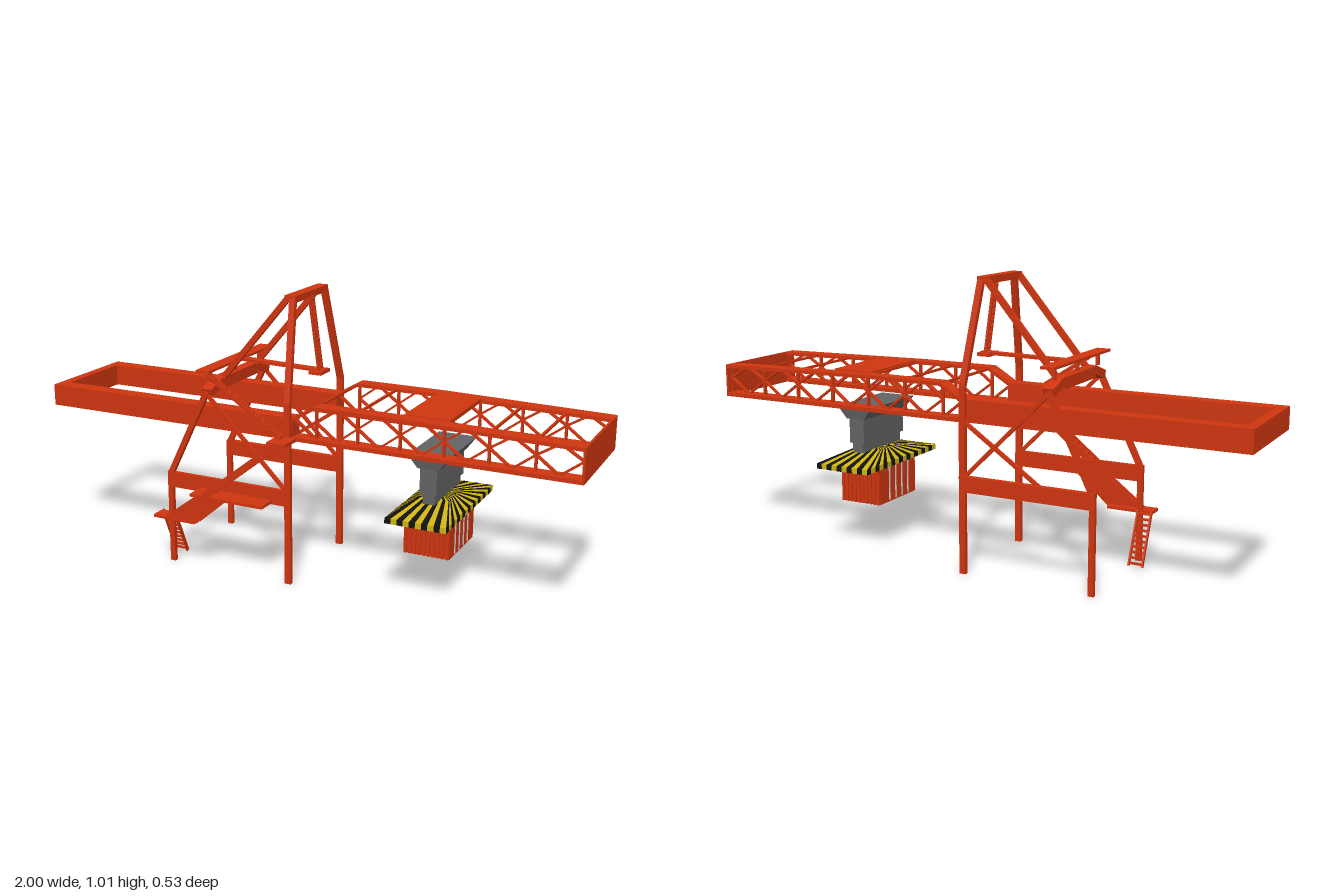
import * as THREE from 'three';

const mat = (name, color, side = THREE.FrontSide) => {
  const m = new THREE.MeshStandardMaterial({ color, side });
  m.name = name;
  return m;
};

export function createModel() {
  const red = mat('crane red', 0xcf3510);
  const grey = mat('steel grey', 0x636363);
  const yellow = mat('warning yellow', 0xd0b512);
  const black = mat('warning black', 0x111111);
  const pale = mat('pale grey', 0xc9c6c4);
  const model = new THREE.Group();
  model.name = 'containerCrane';
  const V = (p) => new THREE.Vector3(...p);

  const group = (name) => {
    const g = new THREE.Group();
    g.name = name;
    model.add(g);
    return g;
  };
  const add = (parent, name, geo, m) => {
    const mesh = new THREE.Mesh(geo, m);
    mesh.name = name;
    parent.add(mesh);
    return mesh;
  };
  // Box given by its limits on each axis
  const block = (parent, name, [x0, x1], [y0, y1], [z0, z1], m = red) =>
    add(parent, name, new THREE.BoxGeometry(x1 - x0, y1 - y0, z1 - z0), m)
      .position.set((x0 + x1) / 2, (y0 + y1) / 2, (z0 + z1) / 2);
  // Rectangular bar between two points
  const bar = (parent, name, a, b, w, h = w) => {
    const A = V(a), B = V(b), dir = B.clone().sub(A);
    const mesh = add(parent, name, new THREE.BoxGeometry(w, h, dir.length()), red);
    if (Math.abs(dir.y) > 0.95 * dir.length()) mesh.up.set(1, 0, 0);
    mesh.position.copy(A).add(B).multiplyScalar(0.5);
    mesh.lookAt(B);
  };
  // Two rails with evenly spaced rungs; side is the offset to the second rail
  const ladder = (name, a, b, side, count, rail, rung) => {
    const g = group(name), A = V(a), B = V(b), S = V(side);
    for (const k of [0, 1]) {
      const off = S.clone().multiplyScalar(k);
      bar(g, 'rail', A.clone().add(off).toArray(), B.clone().add(off).toArray(), 0.006, rail);
    }
    for (let i = 0; i < count; i++) {
      const p = A.clone().lerp(B, (i + 0.5) / count);
      bar(g, 'rung', p.toArray(), p.clone().add(S).toArray(), rung, 0.007);
    }
  };

  const mid = -0.033;
  const sides = [1, -1];

  // Solid rear boom frame
  const rear = group('rearBoom');
  for (const s of sides) {
    const z = mid + s * 0.174;
    block(rear, 'rearGirder', [-1, 0], [0.527, 0.605], [z - 0.027, z + 0.027]);
  }
  block(rear, 'rearEndBeam', [-1, -0.966], [0.527, 0.605], [mid - 0.15, mid + 0.15]);

  // Lattice front boom
  const front = group('frontBoom');
  const topY = (x) => (x < 0.39 ? 0.648 : 0.648 - (x - 0.39) * 0.018);
  const posts = Array.from({ length: 7 }, (_, i) => 0.08 + i * 0.152);
  for (const s of sides) {
    const z = mid + s * 0.174;
    block(front, 'lowerChord', [0, 1], [0.525, 0.539], [z - 0.027, z + 0.027]);
    const chord = [[0, 0.6], [0.08, 0.648], [0.39, 0.648], [0.995, topY(0.995)]];
    for (let i = 0; i < 3; i++)
      bar(front, 'upperChord', [...chord[i], z], [...chord[i + 1], z], 0.054, 0.012);
    bar(front, 'rootBrace', [0.0, 0.595, z], [0.075, 0.535, z], 0.012, 0.008);
    posts.forEach((x, i) => {
      bar(front, 'post', [x, 0.53, z], [x, topY(x), z], 0.012, 0.008);
      if (i === posts.length - 1) return;
      const x1 = posts[i + 1], xm = (x + x1) / 2, ym = 0.592;
      for (const e of [x, x1]) {
        bar(front, 'lattice', [e, ym, z], [xm, topY(xm), z], 0.012, 0.007);
        bar(front, 'lattice', [e, ym, z], [xm, 0.535, z], 0.012, 0.007);
      }
    });
  }
  for (const x of posts.slice(0, 6))
    bar(front, 'crossTie', [x, topY(x), mid - 0.174], [x, topY(x), mid + 0.174], 0.008);
  block(front, 'frontEndPlate', [0.992, 1], [0.525, 0.643], [mid - 0.2, mid + 0.2]);

  // Legs and A-frame, mirrored about the boom centre line
  const tower = group('tower');
  for (const s of sides) {
    const zo = mid + s * 0.207, zi = mid + s * 0.118;
    bar(tower, 'frontLeg', [-0.014, 0, zo], [-0.014, 0.66, zo], 0.015, 0.023);
    bar(tower, 'upperFrontLeg', [-0.014, 0.65, zo], [-0.037, 0.995, zi], 0.017, 0.022);
    bar(tower, 'rearLeg', [-0.49, 0, zo], [-0.49, 0.345, zo], 0.015, 0.02);
    bar(tower, 'slopedRearLeg', [-0.49, 0.335, zo], [-0.33, 0.66, zo], 0.015, 0.02);
    bar(tower, 'shoulder', [-0.33, 0.655, zo], [-0.33, 0.685, zi], 0.04, 0.03);
    bar(tower, 'backstay', [-0.33, 0.675, zi], [-0.055, 0.998, zi], 0.015, 0.02);
    block(tower, 'sideBeam', [-0.49, -0.01], [0.288, 0.345], [zo - 0.007, zo + 0.007]);
    bar(tower, 'sideBrace', [-0.33, 0.65, zo], [-0.02, 0.34, zo], 0.01, 0.013);
  }
  block(tower, 'rearPortalBeam', [-0.35, -0.31], [0.655, 0.695], [mid - 0.125, mid + 0.125]);
  block(tower, 'crownBeam', [-0.065, -0.025], [0.983, 1.007], [mid - 0.125, mid + 0.125]);
  bar(tower, 'farBrace', [-0.02, 0.53, mid - 0.207], [-0.3, 0.34, mid - 0.207], 0.01, 0.013);
  block(tower, 'farWalkway', [-0.5, -0.005], [0.335, 0.345], [-0.255, -0.24]);

  // Stairs, ladders and platforms
  const decks = group('platforms');
  block(decks, 'lowPlatform', [-0.54, -0.37], [0.176, 0.186], [0.165, 0.222]);
  block(decks, 'middlePlatform', [-0.36, -0.07], [0.296, 0.306], [0.187, 0.26]);
  block(decks, 'boomPlatform', [-0.05, 0.02], [0.528, 0.54], [0.175, 0.262]);
  block(decks, 'upperCrosswalk', [-0.355, -0.305], [0.732, 0.741], [-0.253, 0.203]);
  bar(decks, 'upperWalkway', [-0.32, 0.732, -0.05], [0.03, 0.732, -0.022], 0.03, 0.01);
  block(decks, 'ladderLanding', [-0.015, 0.033], [0.722, 0.734], [-0.055, 0.016]);
  for (const z of [-0.2, -0.02, 0.15])
    block(decks, 'crosswalkSupport', [-0.336, -0.324], [0.69, 0.735], [z - 0.006, z + 0.006]);
  ladder('groundLadder', [-0.537, 0.006, 0.087], [-0.537, 0.185, 0.165], [0.05, 0, 0], 10, 0.012, 0.008);
  ladder('boomStair', [-0.3, 0.305, 0.224], [-0.01, 0.535, 0.224], [0, 0, 0.038], 14, 0.024, 0.02);
  ladder('upperStair', [-0.02, 0.54, 0.194], [-0.32, 0.735, 0.186], [0, 0, 0.018], 14, 0.012, 0.014);
  ladder('crownLadder', [0.014, 0.735, -0.03], [-0.008, 0.995, -0.004], [0, 0, 0.024], 11, 0.01, 0.012);

  // Lower stair with solid side panels
  const panel = new THREE.ExtrudeGeometry(new THREE.Shape([
    new THREE.Vector2(-0.5, 0.18), new THREE.Vector2(-0.36, 0.18),
    new THREE.Vector2(-0.22, 0.3), new THREE.Vector2(-0.34, 0.3),
  ]), { depth: 0.005, bevelEnabled: false });
  for (const z of [0.19, 0.216]) add(decks, 'stairPanel', panel, red).position.z = z;
  for (let i = 0; i < 9; i++) {
    const x = -0.43 + i * 0.0175, y = 0.185 + i * 0.0135;
    block(decks, 'stairTread', [x - 0.015, x + 0.015], [y - 0.003, y + 0.003], [0.192, 0.22]);
  }

  // Trolley plate and grey hoist
  const hoist = group('hoist');
  block(hoist, 'trolleyPlate', [0.39, 0.545], [0.642, 0.656], [-0.18, 0.115]);
  const hopper = new THREE.BoxGeometry(0.14, 0.045, 0.29);
  const hp = hopper.attributes.position;
  for (let i = 0; i < hp.count; i++)
    if (hp.getY(i) < 0) hp.setXYZ(i, hp.getX(i) * 0.53, hp.getY(i), hp.getZ(i) * 0.945);
  hopper.computeVertexNormals();
  add(hoist, 'hopper', hopper, grey).position.set(0.47, 0.4985, -0.03);
  block(hoist, 'hoistColumn', [0.44, 0.5], [0.386, 0.478], [-0.16, 0.1], grey);
  block(hoist, 'hoistFoot', [0.45, 0.492], [0.35, 0.386], [-0.153, 0.095], grey);

  // Striped spreader canopy: radial wedges in alternating colours
  const nx = 10, nz = 18, ring = [];
  for (let i = 0; i < nz; i++) ring.push([1, 1 - (2 * i) / nz]);
  for (let i = 0; i < nx; i++) ring.push([1 - (2 * i) / nx, -1]);
  for (let i = 0; i < nz; i++) ring.push([-1, -1 + (2 * i) / nz]);
  for (let i = 0; i < nx; i++) ring.push([-1 + (2 * i) / nx, 1]);
  const at = ([u, v], k, kz, y) => [0.468 + u * 0.108 * k, y, -0.028 + v * 0.233 * kz];
  const faces = [[], []];
  ring.forEach((r, i) => {
    const n = ring[(i + 1) % ring.length], out = faces[i % 2];
    const quad = (a, b, c, d) => out.push(...a, ...b, ...c, ...a, ...c, ...d);
    const b0 = at(r, 1, 1, 0.303), b1 = at(n, 1, 1, 0.303);
    const p0 = at(r, 1, 1, 0.322), p1 = at(n, 1, 1, 0.322);
    const q0 = at(r, 0.5, 0.3, 0.353), q1 = at(n, 0.5, 0.3, 0.353);
    quad(b0, b1, p1, p0);
    quad(p0, p1, q1, q0);
    out.push(...q0, ...q1, ...at(r, 0, 0, 0.353));
    out.push(...b1, ...b0, ...at(r, 0, 0, 0.303));
  });
  const canopy = group('spreaderCanopy');
  faces.forEach((f, i) => {
    const geo = new THREE.BufferGeometry();
    geo.setAttribute('position', new THREE.Float32BufferAttribute(f, 3));
    geo.computeVertexNormals();
    add(canopy, i ? 'yellowStripes' : 'blackStripes', geo, i ? yellow : black);
  });

  // Cargo container with ribbed sides and pale end seams
  const cargo = group('container');
  block(cargo, 'containerBody', [0.384, 0.548], [0.163, 0.303], [-0.146, 0.088]);
  for (let i = 0; i < 10; i++) {
    const x = 0.39 + i * 0.0168;
    for (const z of [-0.148, 0.09])
      block(cargo, 'sideRib', [x - 0.005, x + 0.005], [0.163, 0.303], [z - 0.003, z + 0.003]);
  }
  for (let i = 1; i < 5; i++) {
    const z = 0.08 - i * 0.041 + 0.0;
    for (const x of [0.383, 0.549])
      block(cargo, 'endSeam', [x - 0.002, x + 0.002], [0.168, 0.298], [z - 0.003, z + 0.003], pale);
  }
  return model;
}
